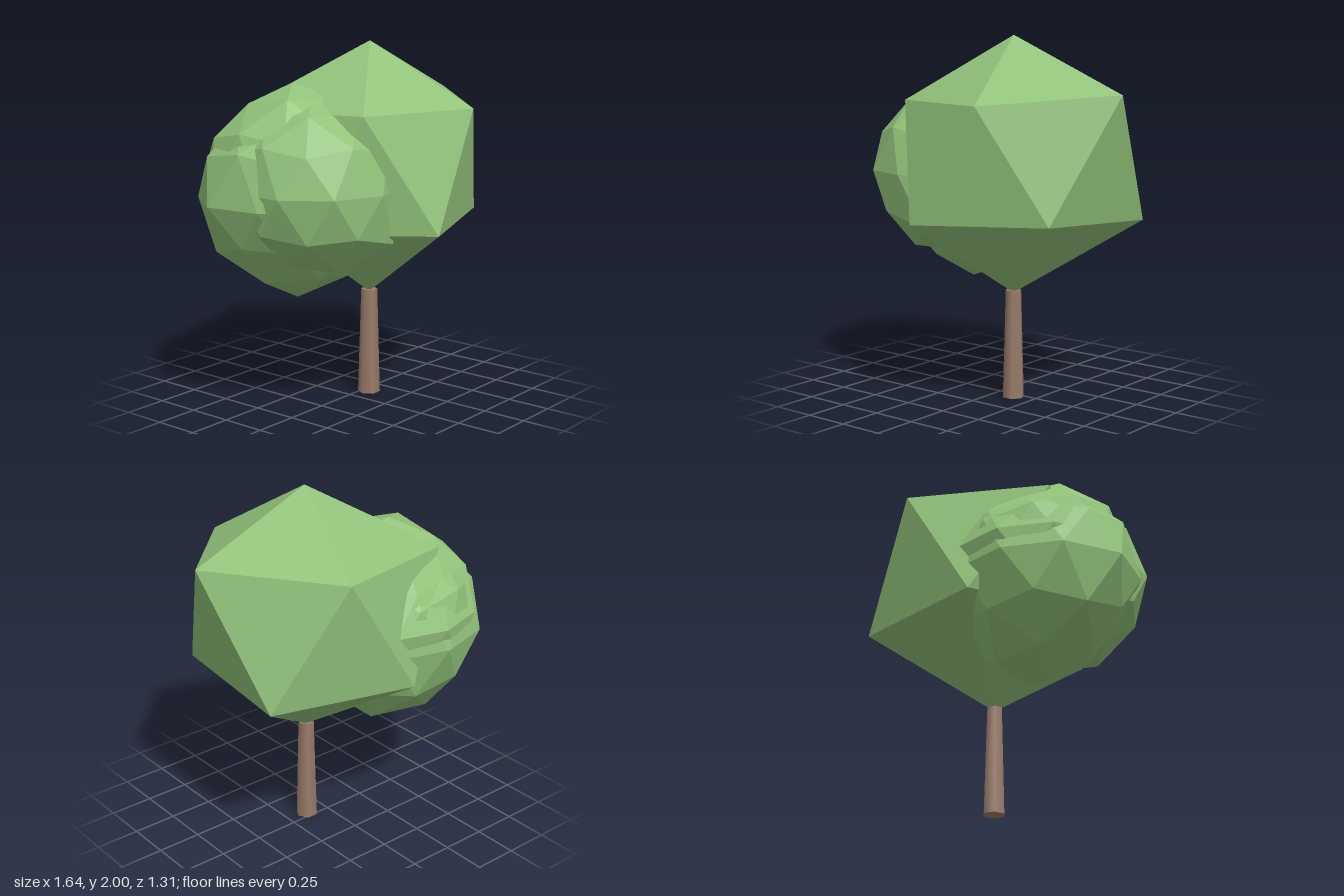
import * as THREE from 'three';
import { ConvexGeometry } from 'three/addons/geometries/ConvexGeometry.js';

const leaf = new THREE.MeshStandardMaterial({ color: 0x92c27a, flatShading: true });
const bark = new THREE.MeshStandardMaterial({ color: 0x9a7d6a });

function addMesh(group, name, geometry, material, x, y, z) {
  const mesh = new THREE.Mesh(geometry, material);
  mesh.name = name;
  mesh.position.set(x, y, z);
  group.add(mesh);
}

// Repeatable value in -1..1 from a direction, so shared corners move together
function wobble(v, seed) {
  const s = Math.sin(Math.round(v.x * 50) * 12.99 + Math.round(v.y * 50) * 78.23 + Math.round(v.z * 50) * 37.72 + seed) * 4375.85;
  return 2 * (s - Math.floor(s)) - 1;
}

// Icosphere with a corner straight up, slightly uneven.
// Each push is [x, y, z, amount]: a swelling (or dent, if negative) in that direction.
function clumpGeometry(radius, seed, pushes) {
  const verts = [0, 1, 0];
  for (const [y, turn] of [[0.4472, 0], [-0.4472, Math.PI / 5]]) {
    for (let i = 0; i < 5; i++) {
      const a = turn + (i * Math.PI * 2) / 5;
      verts.push(0.8944 * Math.cos(a), y, 0.8944 * Math.sin(a));
    }
  }
  verts.push(0, -1, 0);
  const faces = [];
  for (let i = 0; i < 5; i++) {
    const u = 1 + i, un = 1 + ((i + 1) % 5), l = 6 + i, ln = 6 + ((i + 1) % 5);
    faces.push(0, un, u, u, un, l, un, ln, l, 11, l, ln);
  }
  const geo = new THREE.PolyhedronGeometry(verts, faces, 1, 1);
  const p = geo.attributes.position, v = new THREE.Vector3(), dir = new THREE.Vector3();
  for (let i = 0; i < p.count; i++) {
    v.fromBufferAttribute(p, i);
    let scale = 1 + 0.015 * wobble(v, seed);
    for (const [x, y, z, amount] of pushes) {
      scale += amount * Math.max(0, v.dot(dir.set(x, y, z).normalize())) ** 5;
    }
    v.multiplyScalar(radius * scale);
    p.setXYZ(i, v.x, v.y, v.z);
  }
  geo.computeVertexNormals();
  return geo;
}

export function createModel() {
  const tree = new THREE.Group();
  tree.name = 'tree';

  // Six-sided tapering trunk
  addMesh(tree, 'trunk', new THREE.CylinderGeometry(0.046, 0.063, 0.606, 6, 1, false, Math.PI / 2), bark, 0.123, 0.303, 0.04);

  // Large twenty-sided crown, slightly uneven
  const corners = [
    [0.123, 2, 0.04], [0.123, 0.59, 0.04],
    [0.825, 1.7, 0.04], [0.31, 1.65, 0.6], [-0.36, 1.65, 0.38], [-0.45, 1.64, -0.385], [0.33, 1.68, -0.585],
    [0.69, 1, -0.38], [0.63, 1.04, 0.4], [-0.08, 1.02, 0.66], [-0.53, 1.02, 0.04], [-0.085, 1.01, -0.615],
  ].map((c) => new THREE.Vector3(...c));
  addMesh(tree, 'mainCrown', new ConvexGeometry(corners), leaf, 0, 0, 0);

  // Smaller overlapping leaf clumps on one side
  addMesh(tree, 'frontClump', clumpGeometry(0.46, 1, [[0.3, -0.6, 0.75, 0.18]]), leaf, -0.325, 1.25, 0.01);
  addMesh(tree, 'lowerClump', clumpGeometry(0.53, 2, [
    [0, -1, 0, 0.09], [-0.95, 0.1, -0.31, 0.05], [-0.7, -0.6, 0.4, -0.16], [0.1, -0.6, 0.8, -0.12], [0, -0.75, -0.65, -0.05],
  ]), leaf, -0.3, 1.17, -0.125);
  addMesh(tree, 'upperClump', clumpGeometry(0.495, 3, [[-0.05, 0.7, -0.7, -0.22], [0, 1, 0.1, 0.05]]), leaf, -0.28, 1.29, -0.17);

  return tree;
}
